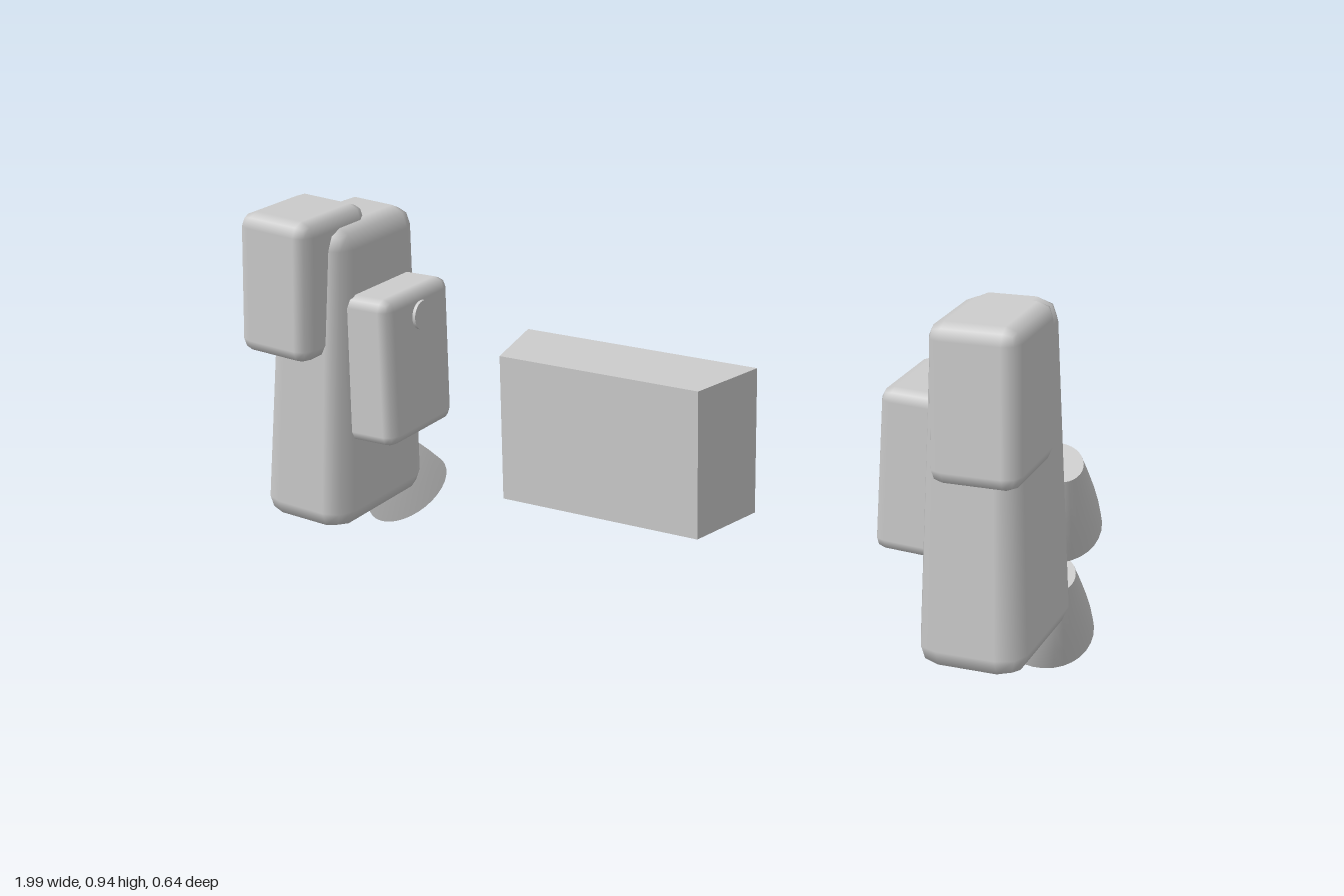
import * as THREE from 'three';
import { RoundedBoxGeometry } from 'three/addons/geometries/RoundedBoxGeometry.js';

const lightGrey = new THREE.MeshStandardMaterial({ color: 0xcccccc });
lightGrey.name = 'lightGrey';

function part(name, geometry, x = 0, y = 0, z = 0, tilt = 0) {
  const mesh = new THREE.Mesh(geometry, lightGrey);
  mesh.name = name;
  mesh.position.set(x, y, z);
  mesh.rotation.z = tilt;
  return mesh;
}

// Box with softly chamfered edges
const softBox = (w, h, d, r) => new RoundedBoxGeometry(w, h, d, 1, r);

// Chamfered box that narrows towards the top
function taperedBox(w, h, d, r, taper) {
  const g = softBox(w, h, d, r);
  const p = g.attributes.position;
  for (let i = 0; i < p.count; i++) {
    const k = 1 - taper * p.getY(i);
    p.setX(i, p.getX(i) * k);
    p.setZ(i, p.getZ(i) * k);
  }
  return g;
}

// Flared nozzle, closed at both ends, running from neck to mouth
function nozzle(name, neck, mouth) {
  const axis = mouth.clone().sub(neck);
  const L = axis.length();
  const outer = [[0.053, 0], [0.072, 0.25], [0.09, 0.5], [0.106, 0.76], [0.118, 1]]
    .map(([r, t]) => new THREE.Vector2(r, -t * L));
  // profile runs bottom to top so the faces point outwards
  const group = new THREE.Group();
  group.name = name;
  group.add(part('nozzleShell', new THREE.LatheGeometry(outer.reverse(), 32)));
  const mouthCap = part('nozzleMouth', new THREE.CircleGeometry(0.118, 32).rotateX(Math.PI / 2), 0, -L, 0);
  const neckCap = part('nozzleNeck', new THREE.CircleGeometry(0.053, 32).rotateX(-Math.PI / 2));
  group.add(mouthCap, neckCap);
  group.position.copy(neck);
  group.quaternion.setFromUnitVectors(new THREE.Vector3(0, -1, 0), axis.normalize());
  return group;
}

// One side unit; s is +1 for left, -1 for right
function sidePod(s) {
  const pod = new THREE.Group();
  pod.name = s > 0 ? 'leftPod' : 'rightPod';
  const tilt = 0.06 * s;
  pod.add(part('podBody', taperedBox(0.22, 0.762, 0.35, 0.05, 0.28), 0.845 * s, 0.527, 0.067, tilt));
  pod.add(part('shoulderBlock', softBox(0.197, 0.347, 0.255, 0.034), 0.868 * s, 0.768, 0.188, tilt));
  pod.add(part('innerBox', softBox(0.18, 0.37, 0.27, 0.028), 0.712 * s, 0.555, 0.065));
  const button = part('innerButton', new THREE.CylinderGeometry(0.036, 0.036, 0.03, 24), 0.629 * s, 0.675, 0.06, Math.PI / 2);
  pod.add(button);
  // Two stacked thrusters at the back
  ['upperNozzle', 'lowerNozzle'].forEach((name, i) => {
    const drop = -0.262 * i;
    pod.add(nozzle(name,
      new THREE.Vector3(0.928 * s, 0.52 + drop, -0.112),
      new THREE.Vector3(0.881 * s, 0.335 + drop, -0.22)));
  });
  return pod;
}

// Central block, narrower at the front
function centreBlock() {
  const shape = new THREE.Shape([[-0.25, -0.297], [0.25, -0.297], [0.295, -0.1], [-0.295, -0.1]]
    .map(([x, y]) => new THREE.Vector2(x, y)));
  const g = new THREE.ExtrudeGeometry(shape, { depth: 0.345, bevelEnabled: false });
  g.rotateX(-Math.PI / 2);
  return part('centreBlock', g, 0, 0.355, 0);
}

export function createModel() {
  const model = new THREE.Group();
  model.name = 'thrusterPack';
  model.add(centreBlock(), sidePod(1), sidePod(-1));
  return model;
}
